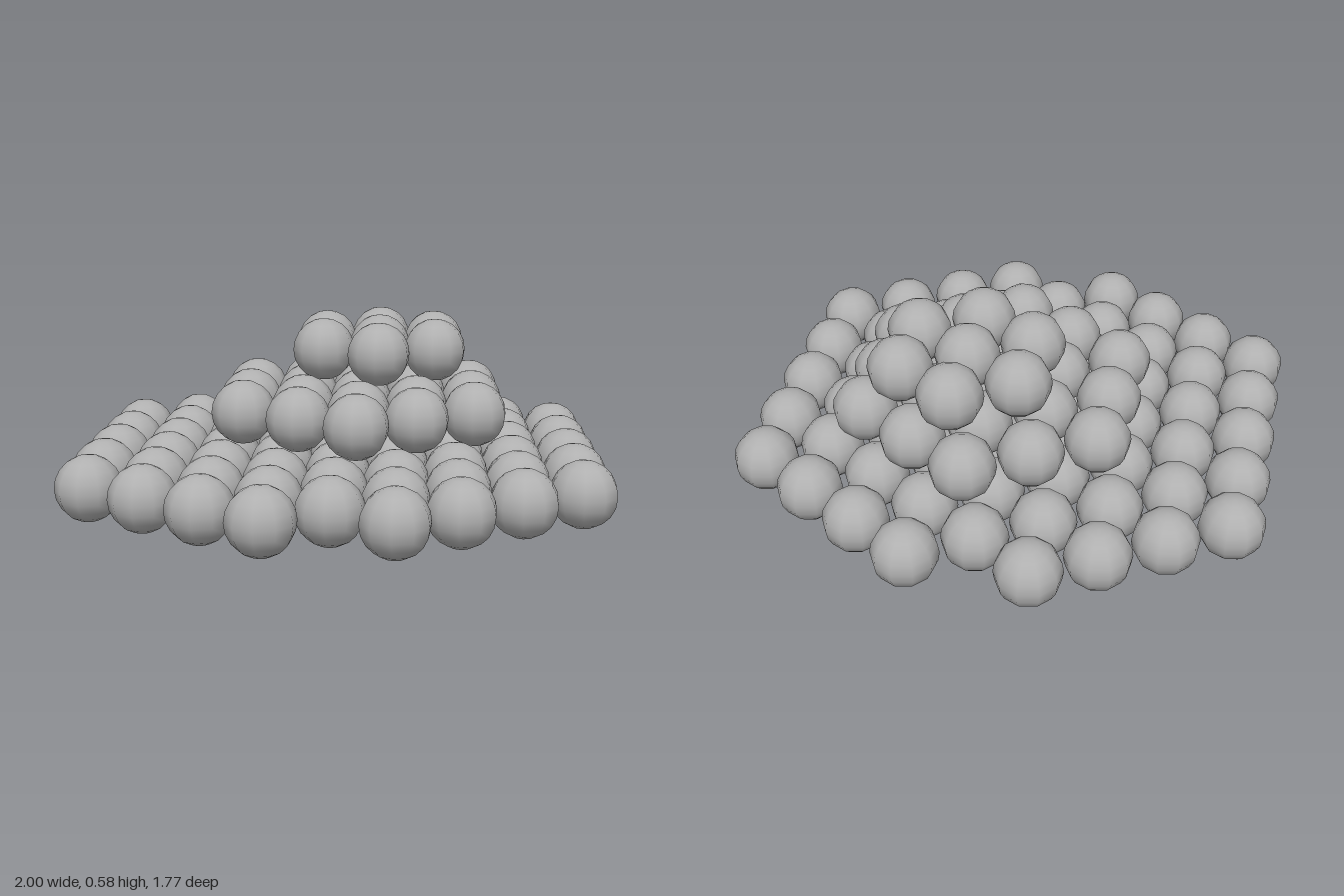
import * as THREE from 'three';

const R = 0.108;                             // ball radius
const STEP = 0.224;                          // spacing within a row
const ROW = STEP * Math.sqrt(3) / 2;         // spacing between rows
const RISE = 0.181;                          // height between layers

export function createModel() {
  const group = new THREE.Group();
  group.name = 'stackedBalls';
  const grey = new THREE.MeshStandardMaterial({ color: 0xb0b0b0 });
  grey.name = 'grey';
  const ball = new THREE.SphereGeometry(R, 10, 10);
  ball.rotateY(Math.PI / 2);

  // Each row is [first x in half steps, number of balls], from back to front
  const layers = [
    {
      name: 'bottomLayer', z: -4 * ROW,
      rows: [[-4, 4], [-5, 6], [-6, 7], [-7, 8], [-8, 9], [-7, 8], [-6, 7], [-5, 6], [-2, 4]],
    },
    {
      name: 'middleLayer', z: -2 * ROW - ROW / 3,
      rows: [[-1, 3], [-2, 4], [-3, 5], [-2, 4], [-1, 3]],
    },
    {
      name: 'topLayer', z: -ROW - 2 * ROW / 3,
      rows: [[1, 2], [0, 3], [1, 2]],
    },
  ];

  layers.forEach(({ name, z, rows }, level) => {
    const layer = new THREE.Group();
    layer.name = name;
    rows.forEach(([start, count], r) => {
      for (let i = 0; i < count; i++) {
        const mesh = new THREE.Mesh(ball, grey);
        mesh.name = 'ball';
        mesh.position.set((start / 2 + i) * STEP, R + level * RISE, z + r * ROW);
        layer.add(mesh);
      }
    });
    group.add(layer);
  });
  return group;
}
